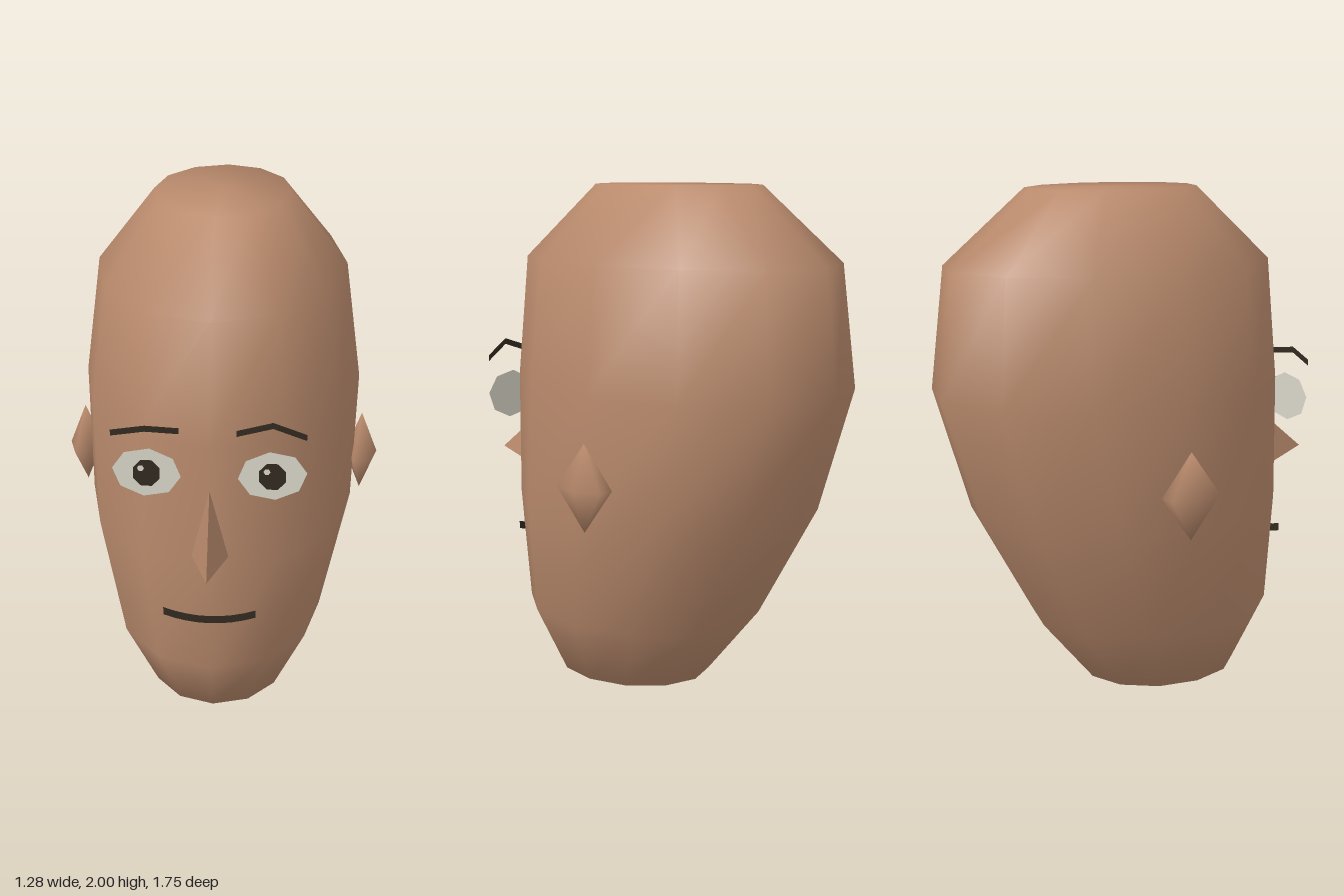
import * as THREE from 'three';

const skin = new THREE.MeshStandardMaterial({ name: 'skin', color: 0xb98a6c });
const skinFlat = new THREE.MeshStandardMaterial({ name: 'skin faceted', color: 0xb98a6c, flatShading: true });
const white = new THREE.MeshStandardMaterial({ name: 'eye white', color: 0xdad6ca, side: THREE.DoubleSide });
const dark = new THREE.MeshStandardMaterial({ name: 'dark brown', color: 0x322a20, side: THREE.DoubleSide });

function geometry(positions, index) {
  const g = new THREE.BufferGeometry();
  g.setAttribute('position', new THREE.Float32BufferAttribute(positions, 3));
  g.setIndex(index);
  g.computeVertexNormals();
  return g;
}

// Twelve-sided elliptical rings: height, half width, front z, back z
function headGeometry() {
  const rings = [
    [0, 0.28, 0.44, -0.22],
    [0.27, 0.42, 0.58, -0.45],
    [0.73, 0.535, 0.59, -0.71],
    [1.23, 0.555, 0.59, -0.875],
    [1.71, 0.49, 0.56, -0.825],
    [2, 0.265, 0.24, -0.48],
  ];
  const n = 12, pos = [], idx = [];
  rings.forEach(([y, rx, front, back], i) => {
    const c = (front + back) / 2, rz = (front - back) / 2;
    for (let j = 0; j < n; j++) {
      const a = (j / n) * Math.PI * 2, k = (j + 1) % n;
      pos.push(Math.sin(a) * rx, y, c + Math.cos(a) * rz);
      if (i < rings.length - 1) {
        const p = i * n + j, q = i * n + k;
        idx.push(p, q, q + n, p, q + n, p + n);
      }
    }
  });
  // Caps
  const bottom = pos.length / 3, top = bottom + 1, last = (rings.length - 1) * n;
  pos.push(0, 0, 0.11, 0, 2, -0.12);
  for (let j = 0; j < n; j++) {
    const k = (j + 1) % n;
    idx.push(bottom, k, j, top, last + j, last + k);
  }
  return geometry(pos, idx);
}

// Thin ribbon of constant height following [x, y, z] points
function ribbon(points, height) {
  const pos = [], idx = [];
  points.forEach(([x, y, z], i) => {
    pos.push(x, y - height / 2, z, x, y + height / 2, z);
    if (i) {
      const b = i * 2;
      idx.push(b - 2, b, b + 1, b - 2, b + 1, b - 1);
    }
  });
  return geometry(pos, idx);
}

export function createModel() {
  const model = new THREE.Group();
  model.name = 'head model';
  const add = (name, geo, mat, parent = model) => {
    const mesh = new THREE.Mesh(geo, mat);
    mesh.name = name;
    parent.add(mesh);
    return mesh;
  };

  add('head', headGeometry(), skin);

  // Nose: a three-sided spike
  add('nose', geometry(
    [0, 1.06, 0.59, -0.07, 0.775, 0.575, 0.07, 0.775, 0.575, 0.01, 0.835, 0.875],
    [0, 1, 3, 0, 3, 2, 3, 1, 2, 0, 2, 1]), skinFlat);

  for (const [side, s] of [['left', 1], ['right', -1]]) {
    const ear = add(side + 'Ear', new THREE.SphereGeometry(1, 6, 2), skin);
    ear.scale.set(0.066, 0.17, 0.127);
    ear.position.set(s * 0.574, 0.89, -0.146);

    // Eye: stacked flat discs
    const eye = new THREE.Group();
    eye.name = side + 'Eye';
    eye.position.set(s * 0.232, 1.13, 0.59);
    model.add(eye);
    const ball = add(side + 'EyeWhite', new THREE.CircleGeometry(1, 8), white, eye);
    ball.scale.set(0.128, 0.098, 1);
    ball.rotation.z = s * 0.12;
    const pupil = add(side + 'Pupil', new THREE.CircleGeometry(1, 8, Math.PI / 8), dark, eye);
    pupil.scale.set(0.053, 0.057, 1);
    pupil.position.z = 0.006;
    const glint = add(side + 'Glint', new THREE.CircleGeometry(0.013, 6), white, eye);
    glint.position.set(-0.02, 0.022, 0.012);
  }

  // Brows, the left one raised a little more
  add('leftBrow', ribbon([[0.1, 1.3, 0.597], [0.233, 1.347, 0.62], [0.355, 1.29, 0.592]], 0.024), dark);
  add('rightBrow', ribbon([[-0.11, 1.304, 0.597], [-0.233, 1.321, 0.62], [-0.362, 1.288, 0.592]], 0.024), dark);

  // Mouth: a gentle smile
  const smile = [];
  for (let i = 0; i <= 8; i++) {
    const t = i / 4 - 1;
    smile.push([t * 0.177, 0.519 + 0.029 * t * t, 0.618 - 0.006 * t * t]);
  }
  add('mouth', ribbon(smile, 0.032), dark);

  return model;
}
